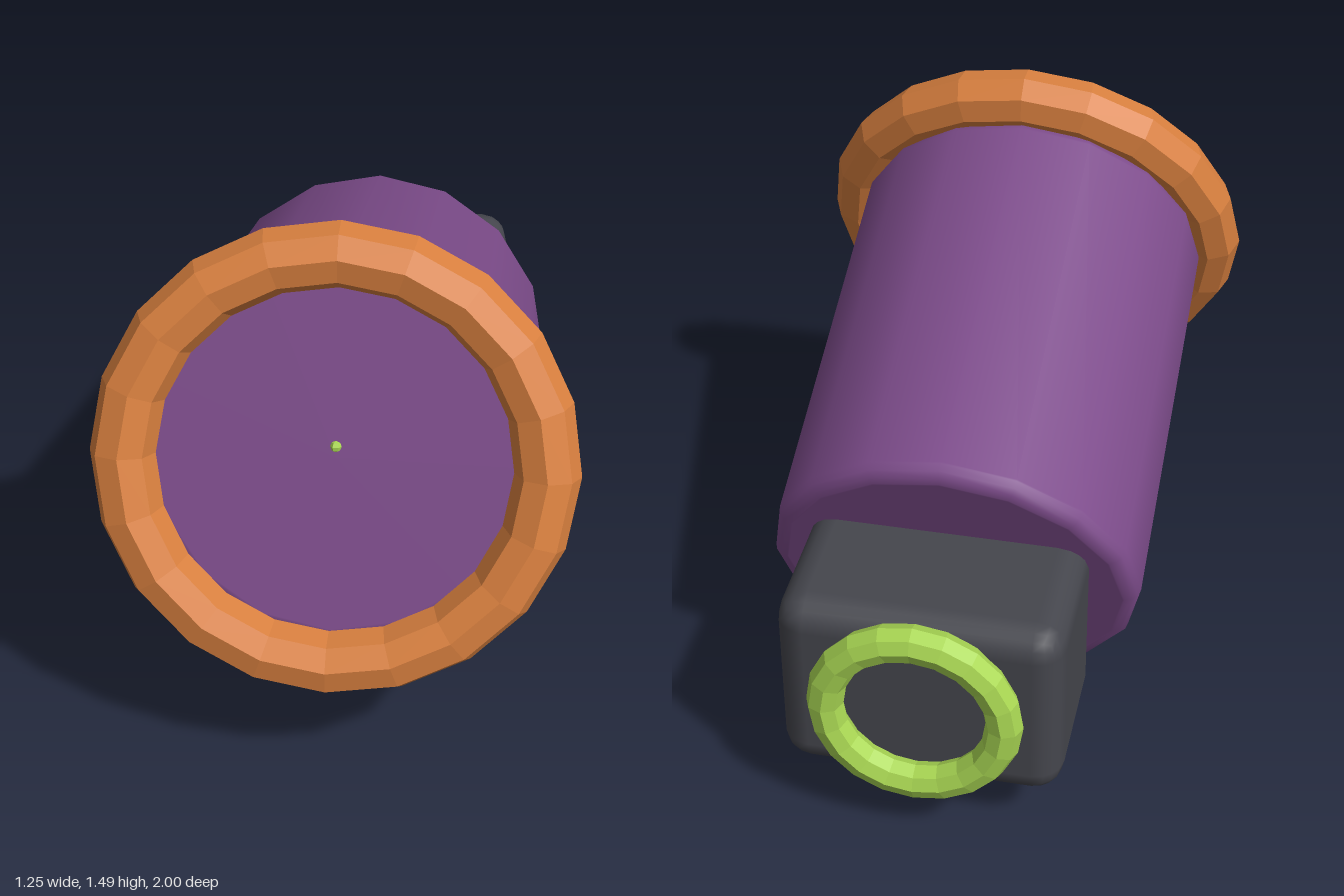
import * as THREE from 'three';
import { RoundedBoxGeometry } from 'three/addons/geometries/RoundedBoxGeometry.js';

const mat = (name, color, flatShading = false) => {
  const m = new THREE.MeshStandardMaterial({ color, flatShading });
  m.name = name;
  return m;
};

export function createModel() {
  const purple = mat('purple', 0x7d4c8b);
  const orange = mat('orange', 0xd9803f, true);
  const green = mat('lime green', 0xa9d753, true);
  const grey = mat('dark grey', 0x45464d);

  const model = new THREE.Group();
  model.name = 'nozzle';
  const add = (parent, name, geometry, material, x, y, z) => {
    const mesh = new THREE.Mesh(geometry, material);
    mesh.name = name;
    mesh.position.set(x, y, z);
    parent.add(mesh);
    return mesh;
  };

  // Tilted barrel: local z runs along the barrel, origin at the muzzle ring
  const barrel = new THREE.Group();
  barrel.name = 'barrelAssembly';
  barrel.position.set(0, 0.908, 0.735);
  barrel.rotation.x = THREE.MathUtils.degToRad(-20);
  model.add(barrel);

  // Barrel profile with softly rounded ends; doubled points keep the flats flat
  const R = 0.513, b = 0.04, back = -1.278, front = -0.042;
  const profile = [[0, back], [R - b - 0.005, back], [R - b, back]];
  for (const a of [30, 60, 90]) {
    const t = THREE.MathUtils.degToRad(a);
    profile.push([R - b + b * Math.sin(t), back + b - b * Math.cos(t)]);
  }
  profile.push([R, back + b + 0.005], [R, front - b - 0.005]);
  for (const a of [0, 30, 60, 90]) {
    const t = THREE.MathUtils.degToRad(a);
    profile.push([R - b + b * Math.cos(t), front - b + b * Math.sin(t)]);
  }
  profile.push([R - b - 0.005, front], [0, front]);
  const body = new THREE.LatheGeometry(profile.map(p => new THREE.Vector2(...p)), 16);
  body.rotateX(Math.PI / 2);
  add(barrel, 'barrel', body, purple, 0, 0, 0);

  // Muzzle ring and the small tip showing through the front face
  add(barrel, 'muzzleRing', new THREE.TorusGeometry(0.54, 0.085, 8, 20), orange, 0, 0, 0);
  add(barrel, 'centreTip', new THREE.SphereGeometry(0.015, 6, 4), green, 0, 0.03, front);

  // Rear block with its ring
  add(model, 'rearBlock', new RoundedBoxGeometry(0.76, 0.55, 0.494, 2, 0.08), grey, 0, 0.415, -0.677);
  add(model, 'rearRing', new THREE.TorusGeometry(0.238, 0.05, 8, 20), green, 0, 0.417, -0.95);

  return model;
}
